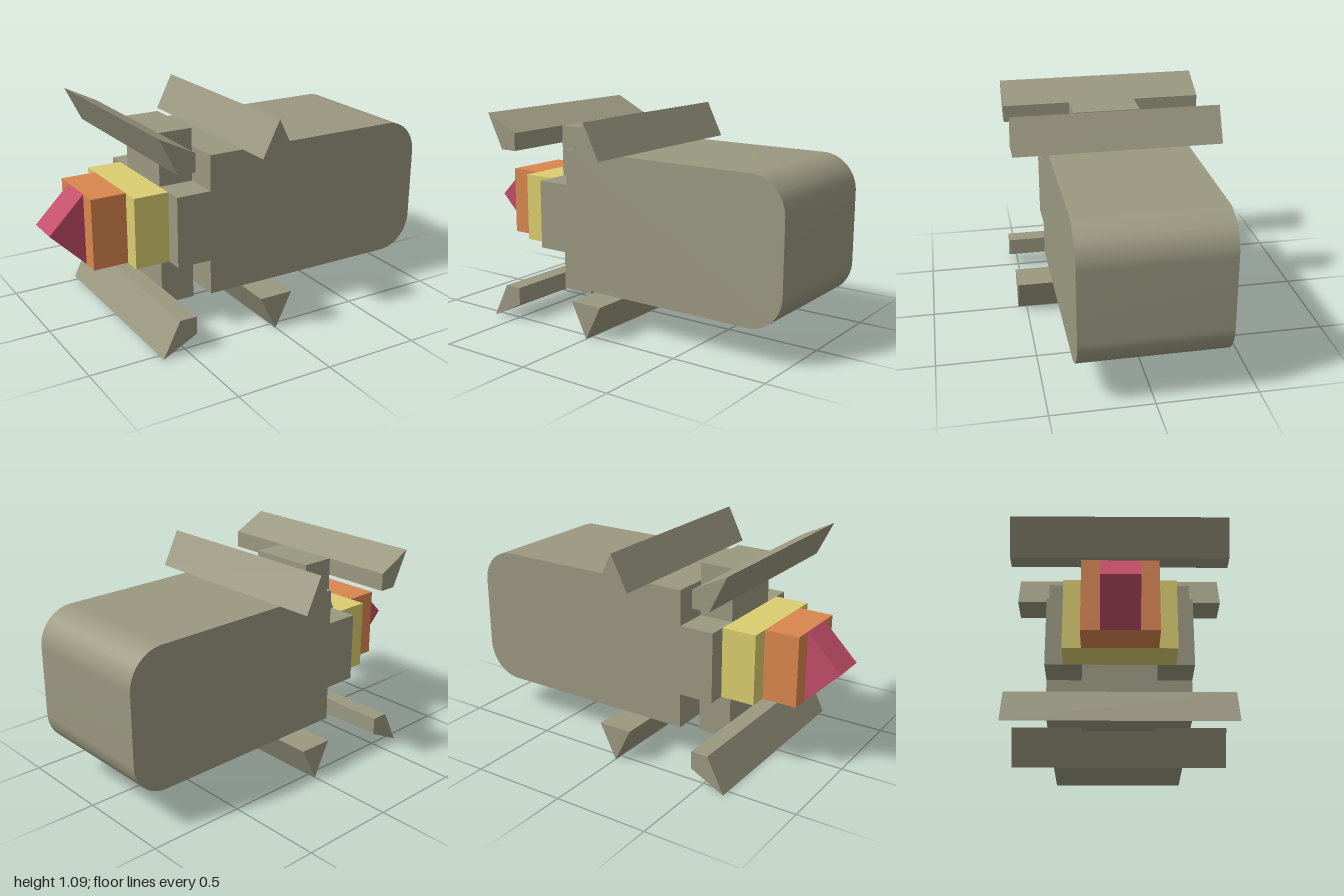
import * as THREE from 'three';
import { toCreasedNormals } from 'three/addons/utils/BufferGeometryUtils.js';

const U = 2 / 11; // design module
const MID = 3 * U; // height of the mirror plane

const material = (name, color) => {
  const m = new THREE.MeshStandardMaterial({ color });
  m.name = name;
  return m;
};

// Extrudes a side profile across z, centred on z = 0
function prism(name, shape, halfDepth, mat) {
  let geo = new THREE.ExtrudeGeometry(shape, { depth: halfDepth * 2, bevelEnabled: false, curveSegments: 16 });
  geo.translate(0, 0, -halfDepth);
  geo = toCreasedNormals(geo, 0.5);
  const mesh = new THREE.Mesh(geo, mat);
  mesh.name = name;
  return mesh;
}

const polygon = (points) => new THREE.Shape(points.map(([x, y]) => new THREE.Vector2(x * U, y * U + MID)));

function block(name, x0, x1, y0, y1, halfDepth, mat) {
  return prism(name, polygon([[x0, y0], [x1, y0], [x1, y1], [x0, y1]]), halfDepth * U, mat);
}

export function createModel() {
  const model = new THREE.Group();
  model.name = 'spacecraft';
  const hull = material('hull grey', 0x9a9880);
  const yellow = material('flame yellow', 0xdacd6e);
  const orange = material('flame orange', 0xda864e);
  const red = material('flame red', 0xc24d68);

  // Hull: rounded nose at +x, narrower nozzle step at -x
  const s = new THREE.Shape();
  s.moveTo(-2.5 * U, MID - U);
  s.lineTo(-1.5 * U, MID - U);
  s.lineTo(-1.5 * U, MID - 2 * U);
  s.lineTo(4.5 * U, MID - 2 * U);
  s.absarc(4.5 * U, MID - U, U, -Math.PI / 2, 0, false);
  s.lineTo(5.5 * U, MID + U);
  s.absarc(4.5 * U, MID + U, U, 0, Math.PI / 2, false);
  s.lineTo(-1.5 * U, MID + 2 * U);
  s.lineTo(-1.5 * U, MID + U);
  s.lineTo(-2.5 * U, MID + U);
  s.closePath();
  model.add(prism('hull', s, 2 * U, hull));

  // Fins and struts, mirrored above and below
  for (const [side, k] of [['upper', 1], ['lower', -1]]) {
    model.add(prism(`${side} middle fin`, polygon([[-0.5, 2 * k], [0.5, 2 * k], [0, 3 * k]]), 3 * U, hull));
    model.add(prism(`${side} tail fin`,
      polygon([[-3, 2 * k], [-2.5, 2 * k], [-2.5, 2.5 * k], [-3.5, 3 * k]]), 3 * U, hull));
    model.add(block(`${side} tail strut`, -2.5, -1.5, Math.min(k, 2.5 * k), Math.max(k, 2.5 * k), 1, hull));
  }

  // Exhaust flame in narrowing steps
  model.add(block('inner flame', -3.5, -2.5, -1, 1, 1.5, yellow));
  model.add(block('middle flame', -4.5, -3.5, -1, 1, 1, orange));
  model.add(prism('flame tip', polygon([[-4.5, -1], [-4.5, 1], [-5.5, 0]]), 0.5 * U, red));
  return model;
}
